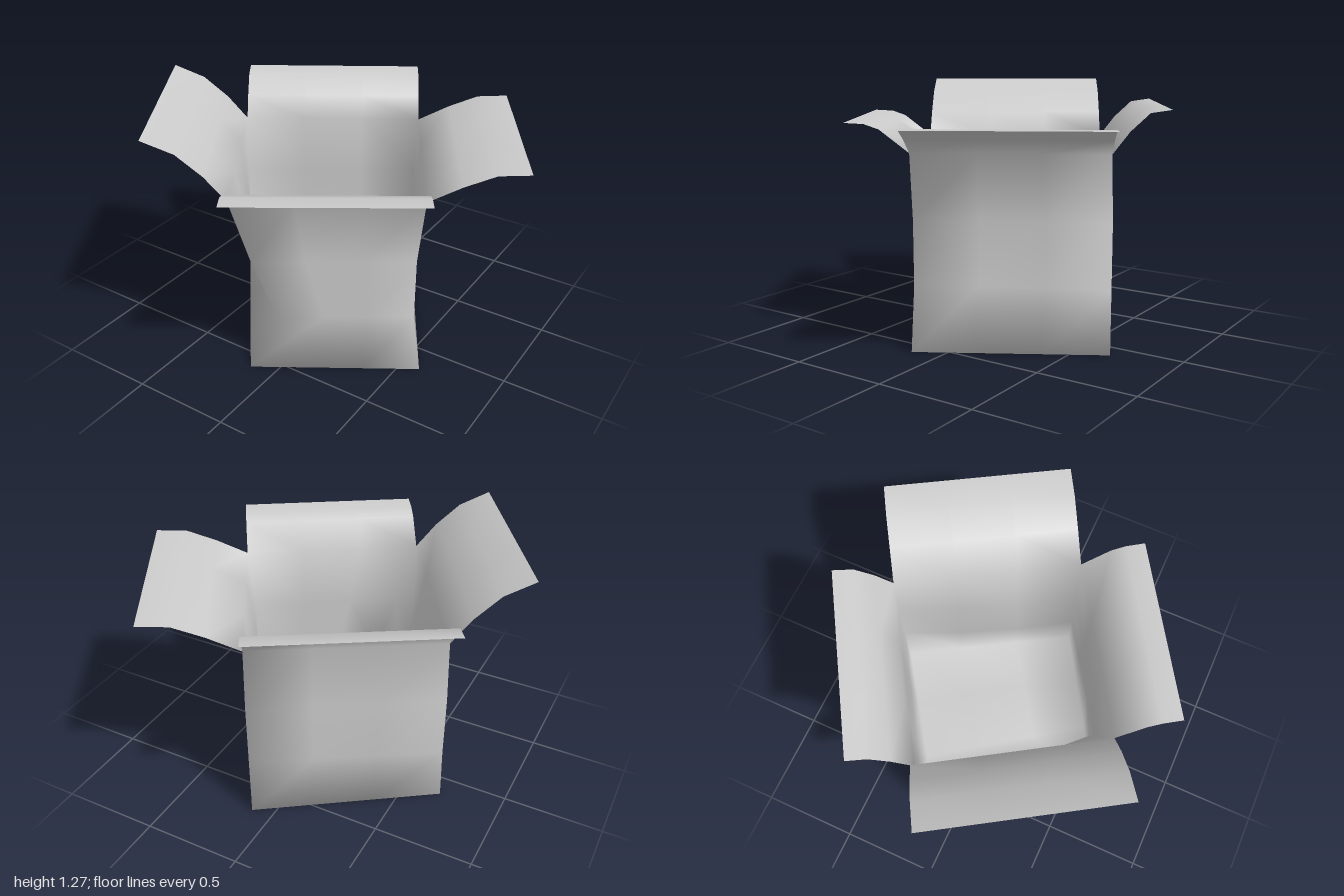
import * as THREE from 'three';
import { mergeVertices } from 'three/addons/utils/BufferGeometryUtils.js';

const N = 3; // divisions along each side

// Box corners [x, z] per level, counter-clockwise from above: back, left, front, right
const heights = [0, 0.32, 0.64, 0.965];
const levels = [
  [[0.11, -0.67], [-0.69, -0.12], [-0.13, 0.6], [0.6, 0.15]],
  [[0.11, -0.67], [-0.7, -0.17], [0, 0.53], [0.56, 0.16]],
  [[0.11, -0.67], [-0.7, -0.17], [-0.1, 0.59], [0.56, 0.16]],
  [[0.11, -0.66], [-0.69, -0.17], [-0.18, 0.64], [0.59, 0.15]],
];

// Sides: start corner is the index; flap is a list of [distance out, height]
const sides = [
  { name: 'backLeft', dent: 0, flap: [[0.08, 1.07], [0.17, 1.155], [0.27, 1.17]] },
  { name: 'frontLeft', dent: 0, flap: [[0.1, 1.09], [0.22, 1.2], [0.37, 1.267]] },
  { name: 'frontRight', dent: 0, flap: [[0.14, 1.075], [0.21, 1.1], [0.305, 1.105]] },
  { name: 'backRight', dent: 0.02, flap: [[0.16, 1.045], [0.31, 1.105], [0.465, 1.112]] },
];

export function createModel() {
  const group = new THREE.Group();
  group.name = 'openCarton';
  const positions = [];
  const parts = [];

  // Append a grid of points (rows of equal length) as one named part
  function addGrid(name, rows) {
    const start = positions.length / 3;
    for (let r = 0; r + 1 < rows.length; r++) {
      for (let i = 0; i + 1 < rows[r].length; i++) {
        const a = rows[r][i], b = rows[r][i + 1];
        const c = rows[r + 1][i + 1], d = rows[r + 1][i];
        for (const p of [a, b, c, a, c, d]) positions.push(p.x, p.y, p.z);
      }
    }
    parts.push({ name, start, count: positions.length / 3 - start });
  }

  const corner = (level, k) =>
    new THREE.Vector3(levels[level][k % 4][0], heights[level], levels[level][k % 4][1]);
  const row = (a, b) => Array.from({ length: N + 1 }, (_, i) => a.clone().lerp(b, i / N));

  // Walls and their folded-out flaps
  sides.forEach((side, k) => {
    const rim = row(corner(3, k), corner(3, k + 1));
    const along = rim[N].clone().sub(rim[0]).normalize();
    const out = new THREE.Vector3(-along.z, 0, along.x);
    const wall = heights.map((_, level) => {
      const points = row(corner(level, k), corner(level, k + 1));
      if (level === 1 || level === 2) {
        for (let i = 1; i < N; i++) points[i].addScaledVector(out, -side.dent);
      }
      return points;
    });
    addGrid(side.name + 'Wall', wall);

    const flap = side.flap.map(([distance, y]) =>
      rim.map((p) => p.clone().addScaledVector(out, distance).setY(y)));
    addGrid(side.name + 'Flap', [rim, ...flap]);
  });

  // Floor, slightly pushed up in the middle, facing down
  const edgeA = row(corner(0, 0), corner(0, 1));
  const edgeB = row(corner(0, 3), corner(0, 2));
  const floor = edgeA.map((p, i) => row(p, edgeB[i]));
  for (let i = 1; i < N; i++) for (let j = 1; j < N; j++) floor[i][j].y = 0.03;
  addGrid('floor', floor);

  // Shared smooth normals across all folds, then one mesh per part
  const soup = new THREE.BufferGeometry();
  soup.setAttribute('position', new THREE.Float32BufferAttribute(positions, 3));
  const shell = mergeVertices(soup, 1e-3);
  shell.computeVertexNormals();
  const index = Array.from(shell.index.array);

  const material = new THREE.MeshStandardMaterial({ color: 0xcccccc, side: THREE.DoubleSide });
  for (const { name, start, count } of parts) {
    const geometry = new THREE.BufferGeometry();
    geometry.setAttribute('position', shell.attributes.position);
    geometry.setAttribute('normal', shell.attributes.normal);
    geometry.setIndex(index.slice(start, start + count));
    const mesh = new THREE.Mesh(geometry, material);
    mesh.name = name;
    group.add(mesh);
  }
  return group;
}
